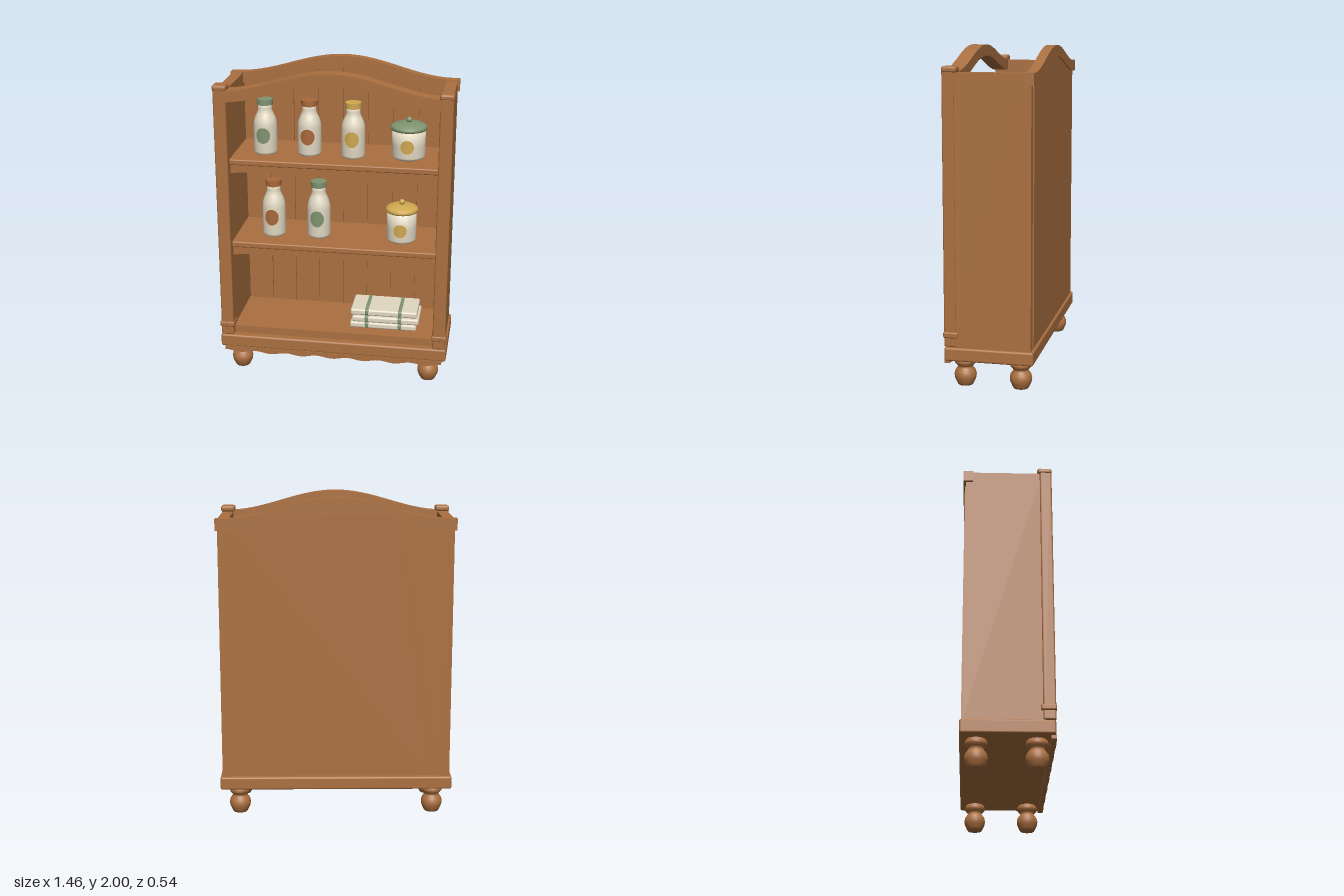
import * as THREE from 'three';
import { RoundedBoxGeometry } from 'three/addons/geometries/RoundedBoxGeometry.js';

const mat = (name, color) => Object.assign(new THREE.MeshStandardMaterial({ color }), { name });

export function createModel() {
  const root = new THREE.Group();
  root.name = 'shelfCabinet';
  const wood = mat('wood', 0xab7040);
  const cream = mat('creamCeramic', 0xe2d8c2);
  const green = mat('sageGreen', 0x7f9470);
  const yellow = mat('mustardYellow', 0xd0a850);
  const brown = mat('terracotta', 0xa9683a);

  const add = (name, geometry, material, parent = root) => {
    const mesh = new THREE.Mesh(geometry, material);
    mesh.name = name;
    parent.add(mesh);
    return mesh;
  };
  // Box given by its limits, with optionally rounded edges
  const box = (name, x0, x1, y0, y1, z0, z1, radius = 0, material = wood) => {
    const size = [x1 - x0, y1 - y0, z1 - z0];
    const g = radius ? new RoundedBoxGeometry(...size, 2, radius) : new THREE.BoxGeometry(...size);
    return add(name, g.translate((x0 + x1) / 2, (y0 + y1) / 2, (z0 + z1) / 2), material);
  };
  // Board between two height curves, from x0 to x1 and z0 to z1
  const board = (name, x0, x1, low, high, z0, z1, steps = 64) => {
    const pts = [];
    for (let i = 0; i <= steps; i++) {
      const x = x0 + (x1 - x0) * i / steps;
      pts.push(new THREE.Vector2(x, low(x)));
    }
    for (let i = steps; i >= 0; i--) {
      const x = x0 + (x1 - x0) * i / steps;
      pts.push(new THREE.Vector2(x, high(x)));
    }
    const g = new THREE.ExtrudeGeometry(new THREE.Shape(pts), { depth: z1 - z0, bevelEnabled: false });
    return add(name, g.translate(0, 0, z0), wood);
  };
  const lathe = (points, segments = 32) =>
    new THREE.LatheGeometry(points.map(([r, y]) => new THREE.Vector2(r, y)), segments);

  // Arched crown rails
  const arch = (x) => 1.873 + 0.0635 * (1 + Math.cos(Math.PI * Math.min(1, Math.abs(x) / 0.69)));
  const archLow = (x) => arch(x) - 0.07;
  board('frontCrownRail', -0.645, 0.645, archLow, arch, 0.18, 0.268);
  board('backCrownRail', -0.725, 0.725, archLow, arch, -0.27, -0.21);

  // Back: outer panel and vertical planks with narrow grooves
  board('backPanel', -0.66, 0.66, () => 0.26, (x) => arch(x) - 0.03, -0.261, -0.238);
  for (let i = 0; i < 8; i++) {
    const x = -0.64 + i * 0.16;
    board('backPlank', x + 0.002, x + 0.158, () => 0.26, (t) => arch(t) - 0.03, -0.24, -0.22, 10);
  }

  // Sides and front posts
  for (const s of [-1, 1]) {
    const sided = (name, a, b, ...rest) => box(name, Math.min(s * a, s * b), Math.max(s * a, s * b), ...rest);
    sided('sidePanel', 0.645, 0.712, 0.25, 1.87, -0.253, 0.21);
    sided('frontPost', 0.64, 0.72, 0.255, 1.885, 0.195, 0.268, 0.01);
    sided('postCap', 0.636, 0.724, 1.868, 1.905, 0.18, 0.27, 0.014);
    sided('postCollar', 0.634, 0.728, 0.31, 0.347, 0.182, 0.272, 0.01);
  }

  // Base, floor and shelves
  box('basePlinth', -0.727, 0.727, 0.17, 0.252, -0.27, 0.266, 0.012);
  box('cabinetFloor', -0.645, 0.645, 0.25, 0.302, -0.225, 0.22);
  const wave = (base, amp, period) => (x) => base - amp * Math.cos(2 * Math.PI * x / period);
  for (const top of [0.888, 1.432]) {
    box('shelf', -0.645, 0.645, top - 0.037, top, -0.225, 0.222, 0.008);
    board('shelfValance', -0.645, 0.645, wave(top - 0.09, 0.005, 0.16), () => top - 0.03, 0.185, 0.205);
  }
  board('baseApron', -0.7, 0.7, wave(0.143, 0.007, 0.2), () => 0.175, 0.24, 0.27);

  // Turned feet
  const footShape = lathe([[0, 0], [0.045, 0], [0.053, 0.015], [0.064, 0.04], [0.067, 0.062], [0.062, 0.085],
    [0.048, 0.105], [0.042, 0.116], [0.052, 0.122], [0.063, 0.135], [0.065, 0.148], [0.06, 0.162], [0.05, 0.175]]);
  for (const x of [-0.61, 0.61]) for (const z of [-0.175, 0.165]) {
    add('foot', footShape, wood).position.set(x, 0, z);
  }

  // Oval label wrapped around a round body
  const label = (parent, material, r, y, rx, ry) => {
    const g = new THREE.RingGeometry(0, 1, 32, 4);
    const p = g.attributes.position;
    for (let i = 0; i < p.count; i++) {
      const a = p.getX(i) * rx / r;
      p.setXYZ(i, Math.sin(a) * (r + 0.007), y + p.getY(i) * ry, Math.cos(a) * (r + 0.007));
    }
    g.computeVertexNormals();
    add('label', g, material, parent);
  };
  const holder = (name, x, y, z) => {
    const g = new THREE.Group();
    g.name = name;
    g.position.set(x, y, z);
    root.add(g);
    return g;
  };

  // Bottles with caps
  const bottleShape = lathe([[0, 0], [0.062, 0], [0.069, 0.005], [0.073, 0.017], [0.073, 0.1], [0.073, 0.18],
    [0.07, 0.205], [0.062, 0.232], [0.051, 0.255], [0.044, 0.272], [0.042, 0.29], [0.042, 0.312], [0, 0.313]]);
  const capShape = new THREE.CylinderGeometry(0.049, 0.049, 0.035, 32).translate(0, 0.328, 0);
  for (const [x, y, z, material, scale] of [
    [-0.45, 1.432, 0.043, green, 1], [-0.175, 1.432, 0.03, brown, 1], [0.1, 1.432, 0.043, yellow, 1],
    [-0.407, 0.888, 0.04, brown, 1.06], [-0.12, 0.888, 0.025, green, 1.06]]) {
    const bottle = holder('bottle', x, y, z);
    bottle.scale.y = scale;
    add('bottleBody', bottleShape, cream, bottle);
    add('bottleCap', capShape, material, bottle);
    label(bottle, material, 0.073, 0.128, 0.042, 0.05);
  }

  // Lidded jars
  for (const [x, y, z, r, h, labelY, lidMaterial] of [
    [0.438, 1.432, 0, 0.103, 0.18, 0.092, green], [0.407, 0.888, 0.02, 0.093, 0.195, 0.092, yellow]]) {
    const jar = holder('jar', x, y, z);
    add('jarBody', lathe([[0, 0], [r - 0.014, 0], [r - 0.004, 0.006], [r, 0.018], [r, h / 2], [r, h], [0, h]]), cream, jar);
    const R = r + 0.009;
    add('jarLid', lathe([[0, 0], [R - 0.004, 0], [R, 0.008], [R, 0.018], [R * 0.93, 0.027], [R * 0.75, 0.036],
      [R * 0.4, 0.045], [0, 0.048]]), lidMaterial, jar).position.y = h;
    add('lidKnob', new THREE.SphereGeometry(0.018, 20, 14), lidMaterial, jar).position.y = h + 0.059;
    label(jar, yellow, r, labelY, 0.04, 0.043);
  }

  // Folded cloths with two stripe bands each
  [[0.097, 0.302], [0.112, 0.347], [0.1, 0.392]].forEach(([x, y], i) => {
    const z = i === 1 ? 0.006 : 0;
    box('foldedCloth', x, x + 0.428, y, y + 0.04, z - 0.1, z + 0.135, 0.012, cream);
    for (const sx of [0.205, 0.418]) {
      box('clothStripe', sx - 0.015, sx + 0.015, y + 0.003, y + 0.043, z - 0.103, z + 0.138, 0.012, green);
    }
  });
  return root;
}
